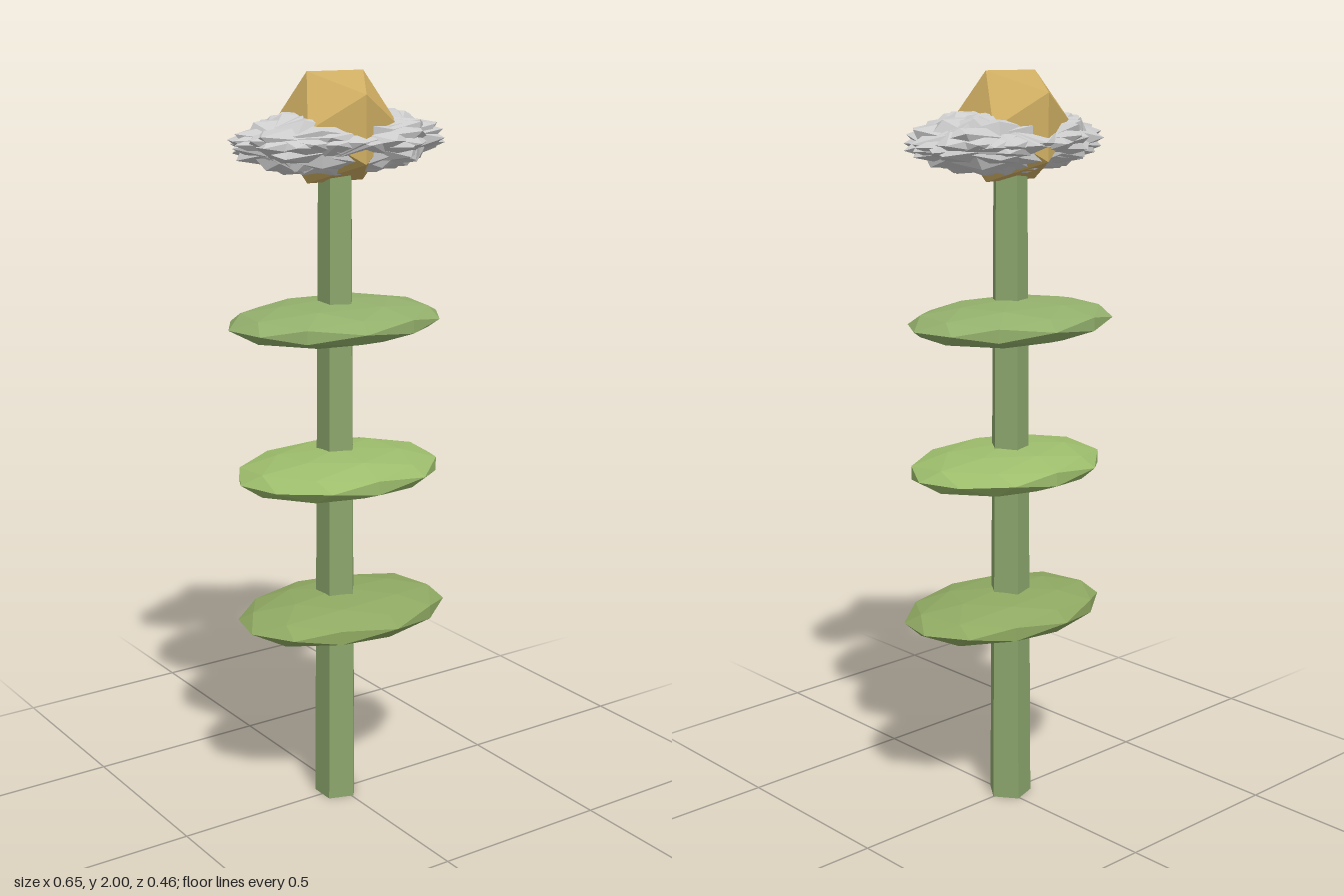
import * as THREE from 'three';

const CX = -0.013;

function part(name, geometry, color) {
  const mesh = new THREE.Mesh(
    geometry,
    new THREE.MeshStandardMaterial({ color, flatShading: true })
  );
  mesh.name = name;
  return mesh;
}

export function createModel() {
  const model = new THREE.Group();
  model.name = 'flower';

  // Tapered five-sided stem with one ridge toward +x
  const stem = part('stem', new THREE.CylinderGeometry(0.047, 0.061, 1.8, 5).rotateY(Math.PI / 2), 0x8ca66c);
  stem.position.set(CX, 0.9, 0);
  model.add(stem);

  // Flat faceted leaf discs: centre x, y, z, half sizes, turn, colour
  const leaves = [
    [0, 0.55, 0.01, 0.31, 0.06, 0.212, 0.12, 0x8fa962],
    [-0.016, 0.955, 0.015, 0.3, 0.06, 0.222, 0.5, 0x9dbd6c],
    [-0.004, 1.355, -0.018, 0.312, 0.058, 0.219, -0.15, 0x93b06c],
  ];
  leaves.forEach(([x, y, z, a, b, c, turn, color], i) => {
    const geo = new THREE.IcosahedronGeometry(1, 1).rotateY(turn).scale(a, b, c);
    const leaf = part(`leaf${i + 1}`, geo, color);
    leaf.position.set(x, y, z);
    model.add(leaf);
  });

  // Spiky petals: turned icosahedra crossing each other, flattened together
  const petals = new THREE.Group();
  petals.name = 'petals';
  for (let i = 0; i < 9; i++) {
    const geo = new THREE.IcosahedronGeometry(1, 0)
      .rotateX(i * 0.9)
      .rotateY(i * 2.1)
      .rotateZ(i * 1.3)
      .scale(0.327, 0.09, 0.153);
    petals.add(part('petal', geo, 0xcccccc));
  }
  petals.position.set(0, 1.823, -0.004);
  model.add(petals);

  // Golden flower centre
  const centre = part('flowerCentre', new THREE.IcosahedronGeometry(0.164, 0), 0xcfae62);
  centre.position.set(CX, 1.86, -0.005);
  model.add(centre);

  return model;
}
